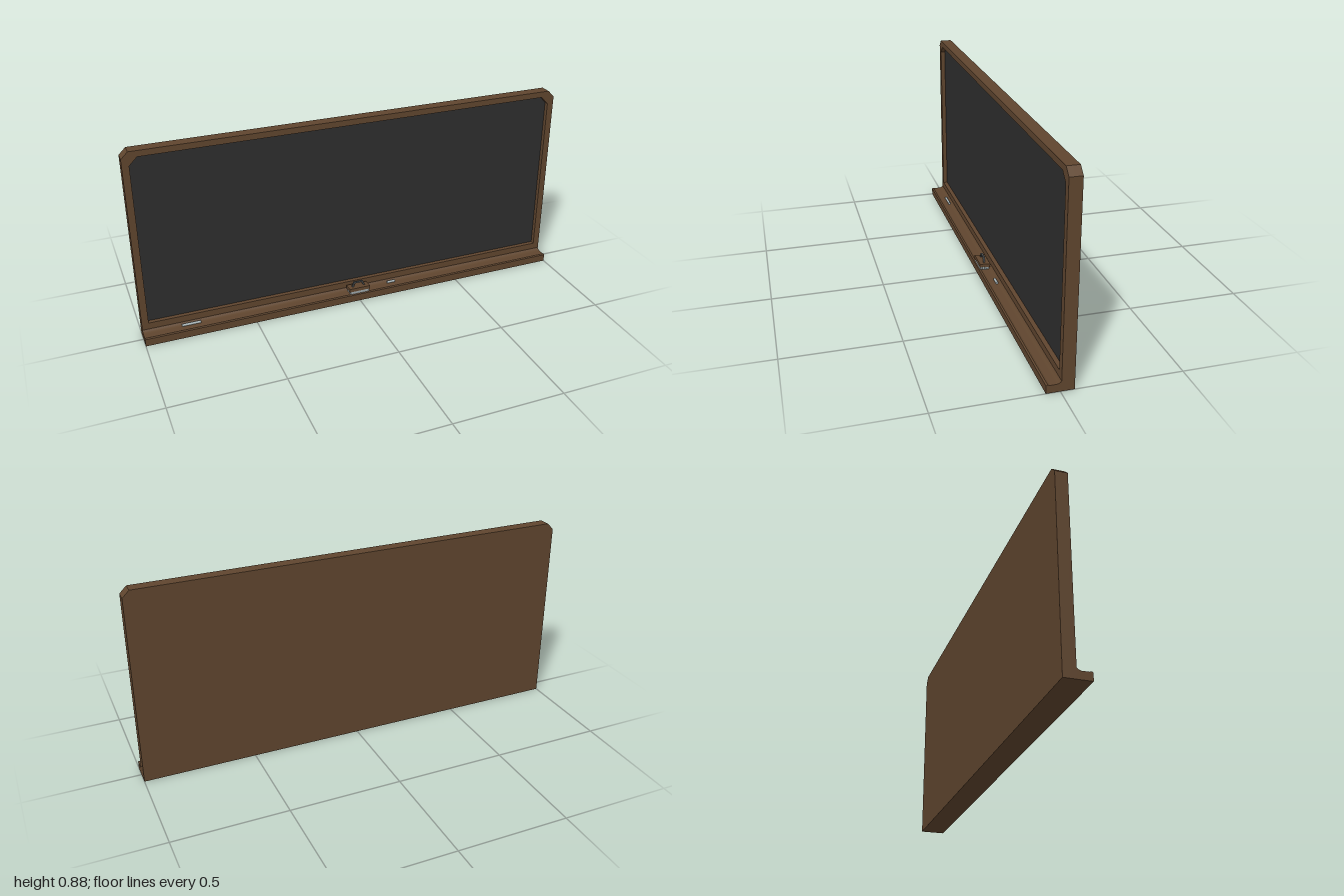
import * as THREE from 'three';

const mat = (name, color) => {
  const m = new THREE.MeshStandardMaterial({ color });
  m.name = name;
  return m;
};

// Rectangle whose two upper corners are cut off
function clippedRect(Type, w, y0, y1, c) {
  return new Type([
    [-w, y0], [w, y0], [w, y1 - c], [w - c, y1], [-w + c, y1], [-w, y1 - c],
  ].map(([x, y]) => new THREE.Vector2(x, y)));
}

const extrude = (shape, depth) =>
  new THREE.ExtrudeGeometry(shape, { depth, bevelEnabled: false });

export function createModel() {
  const wood = mat('brown wood', 0x5f452e);
  const slate = mat('dark slate', 0x2d2d2d);
  const chalkWhite = mat('chalk grey', 0xa9b5b8);
  const felt = mat('felt grey', 0x9aa3a4);
  const metal = mat('handle grey', 0x4a4e50);

  const model = new THREE.Group();
  const add = (name, geometry, material, x = 0, y = 0, z = 0, parent = model) => {
    const mesh = new THREE.Mesh(geometry, material);
    mesh.name = name;
    mesh.position.set(x, y, z);
    parent.add(mesh);
    return mesh;
  };

  // Frame ring, solid back and recessed writing surface
  const ring = clippedRect(THREE.Shape, 1, 0, 0.885, 0.03);
  ring.holes.push(clippedRect(THREE.Path, 0.97, 0.075, 0.858, 0.035));
  add('frame', extrude(ring, 0.024), wood, 0, 0, -0.028);
  add('backPanel', extrude(clippedRect(THREE.Shape, 1, 0, 0.885, 0.03), 0.029), wood, 0, 0, -0.057);
  add('writingSurface', extrude(clippedRect(THREE.Shape, 0.97, 0.075, 0.858, 0.035), 0.004), slate, 0, 0, -0.028);

  // Chalk tray: shallow trough profile swept along the width
  const tray = new THREE.Shape();
  tray.moveTo(-0.004, 0);
  tray.lineTo(0.057, 0);
  tray.lineTo(0.057, 0.034);
  tray.lineTo(0.05, 0.037);
  tray.lineTo(0.042, 0.034);
  tray.lineTo(0.014, 0.034);
  tray.quadraticCurveTo(0.001, 0.036, -0.004, 0.045);
  const trayGeometry = new THREE.ExtrudeGeometry(tray, { depth: 2, bevelEnabled: false, curveSegments: 5 });
  trayGeometry.rotateY(-Math.PI / 2);
  add('chalkTray', trayGeometry, wood, 1);

  // Chalk sticks
  for (const [x, length] of [[-0.788, 0.085], [0.175, 0.04]]) {
    const stick = new THREE.CylinderGeometry(0.006, 0.006, length, 10);
    stick.rotateZ(Math.PI / 2);
    add('chalkStick', stick, chalkWhite, x, 0.04, 0.015);
  }

  // Eraser resting on the tray lip, tipped slightly backwards
  const eraser = new THREE.Group();
  eraser.name = 'eraser';
  eraser.position.set(0, 0.036, 0.033);
  eraser.rotation.x = -0.08;
  model.add(eraser);
  add('eraserBlock', new THREE.BoxGeometry(0.1, 0.015, 0.049), wood, 0, 0.0225, 0, eraser);
  for (let i = 0; i < 4; i++) {
    add('feltStrip', new THREE.BoxGeometry(0.092, 0.014, 0.009), felt, 0, 0.008, -0.0165 + i * 0.011, eraser);
  }

  // Arched handle
  const arch = new THREE.Shape([
    [-0.032, 0.03], [-0.024, 0.03], [-0.017, 0.046], [0.017, 0.046], [0.024, 0.03],
    [0.032, 0.03], [0.022, 0.053], [-0.022, 0.053],
  ].map(([x, y]) => new THREE.Vector2(x, y)));
  add('eraserHandle', extrude(arch, 0.009), metal, 0, 0, -0.0045, eraser);

  return model;
}
